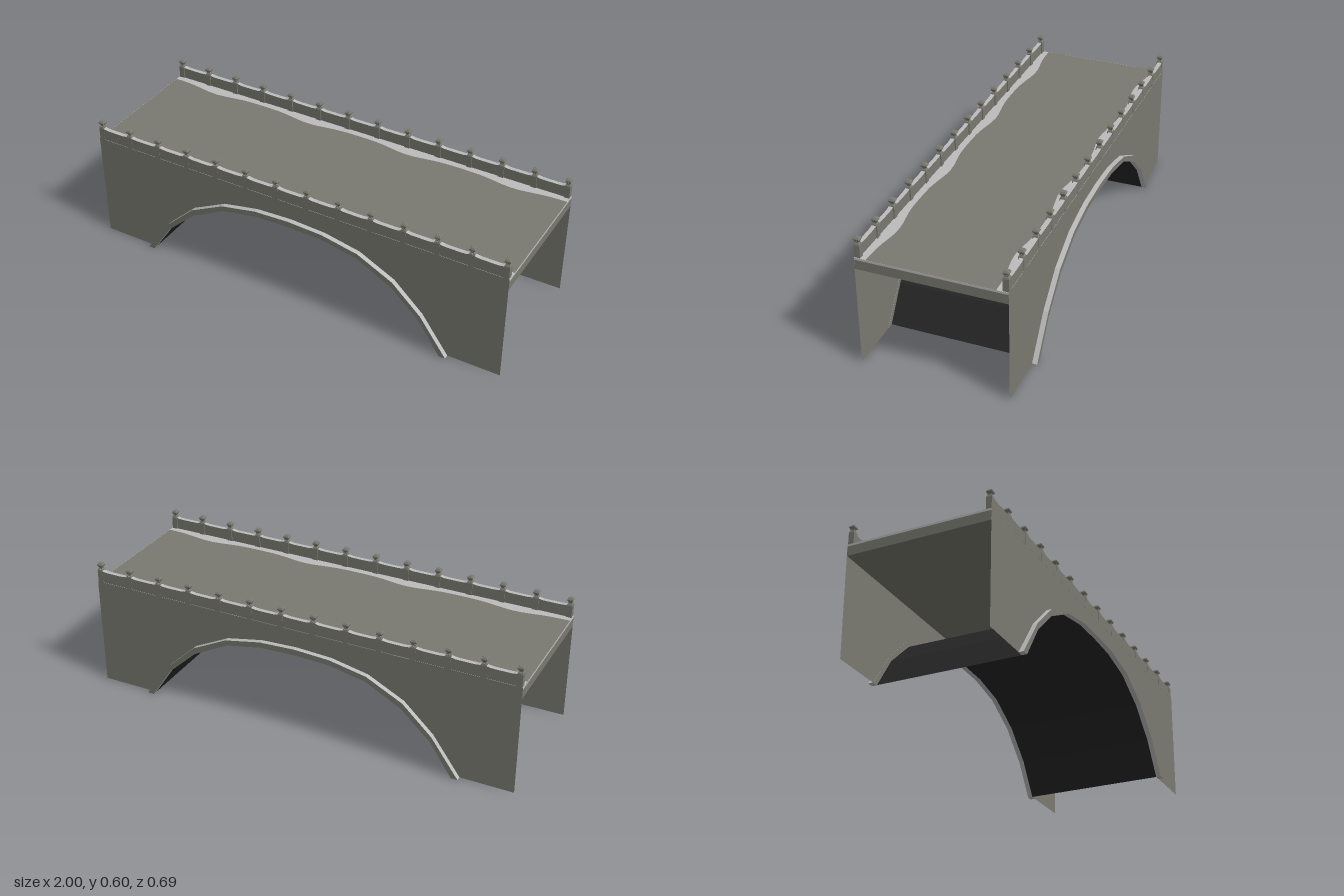
import * as THREE from 'three';

const stone = new THREE.MeshStandardMaterial({ color: 0x7a7a71, side: THREE.DoubleSide, flatShading: true });
stone.name = 'stone';
const paleStone = new THREE.MeshStandardMaterial({ color: 0xbcbcbc, side: THREE.DoubleSide, flatShading: true });
paleStone.name = 'pale worn stone';
const darkStone = new THREE.MeshStandardMaterial({ color: 0x262626, side: THREE.DoubleSide, flatShading: true });
darkStone.name = 'dark vault stone';

const HALF = 0.322; // half width of the bridge
const DECK = 0.507; // height of the road
const POSTS = 14;
const STEP = 1.97 / (POSTS - 1);

// Right half of an arch, mirrored into a full left-to-right curve
const mirrorArch = (half) => [
  ...half.map(([x, y]) => new THREE.Vector2(-x, y)),
  ...half.slice(0, -1).reverse().map(([x, y]) => new THREE.Vector2(x, y)),
];
const inner = mirrorArch([[0.73, 0], [0.63, 0.15], [0.495, 0.275], [0.33, 0.362], [0.16, 0.395], [0, 0.4]]);
const outer = mirrorArch([[0.76, 0], [0.635, 0.176], [0.5, 0.303], [0.335, 0.386], [0.165, 0.42], [0, 0.428]]);

function add(parent, name, geometry, material, x = 0, y = 0, z = 0) {
  const mesh = new THREE.Mesh(geometry, material);
  mesh.name = name;
  mesh.position.set(x, y, z);
  parent.add(mesh);
  return mesh;
}

const v = (x, y) => new THREE.Vector2(x, y);
const extrude = (points, depth) =>
  new THREE.ExtrudeGeometry(new THREE.Shape(points), { depth, bevelEnabled: false });

// Open sheet swept across the bridge under the arch
function vaultGeometry() {
  const geometry = new THREE.PlaneGeometry(1, 1, inner.length - 1, 1);
  const p = geometry.attributes.position;
  inner.forEach((pt, i) => {
    p.setXYZ(i, pt.x, pt.y, -HALF);
    p.setXYZ(i + inner.length, pt.x, pt.y, HALF);
  });
  geometry.computeVertexNormals();
  return geometry;
}

// Wavy worn strip along the road edge, in the x / inward plane
function wornEdge() {
  const points = [v(1, 0), v(-1, 0)];
  for (let i = 0; i <= 48; i++) {
    const x = -1 + i / 24;
    const bump = Math.pow(0.5 - 0.5 * Math.cos(x * Math.PI * 4), 1);
    const peak = Math.pow(0.5 - 0.5 * Math.cos(2 * Math.PI * (x / 0.507)), 2);
    points.push(v(x, 0.05 + 0.021 * peak + 0.002 * bump));
  }
  return new THREE.ShapeGeometry(new THREE.Shape(points)).rotateX(-Math.PI / 2);
}

// Parapet panel with a top that sweeps up towards the posts
function panelGeometry() {
  const points = [v(-STEP / 2, 0), v(STEP / 2, 0)];
  for (let i = 0; i <= 10; i++) {
    const t = 1 - i / 5;
    points.push(v((t * STEP) / 2, 0.056 + 0.012 * Math.pow(Math.abs(t), 6)));
  }
  return extrude(points, 0.019);
}

// Square turned profile for posts
const square = (profile) =>
  new THREE.LatheGeometry(profile.map(([w, y]) => v(w * Math.SQRT1_2, y)), 4).rotateY(Math.PI / 4);

function buildSide() {
  const side = new THREE.Group();

  // Thin wall with the arch cut away
  const wall = new THREE.Shape([v(-1, 0), ...inner, v(1, 0), v(1, 0.505), v(-1, 0.505)]);
  add(side, 'spandrelWall', new THREE.ShapeGeometry(wall), stone, 0, 0, HALF + 0.0008);

  // Projecting arch band, stone faces with pale edges
  add(side, 'archBand', extrude([...outer, ...inner.slice().reverse()], 0.023), [stone, paleStone], 0, 0, HALF);

  // Worn pale road edge
  add(side, 'wornRoadEdge', wornEdge(), paleStone, 0, DECK + 0.0008, HALF);

  // Parapet panels and posts
  const panel = panelGeometry();
  const shaft = square([[0, 0], [0.025, 0], [0.025, 0.058], [0.021, 0.065], [0.016, 0.068], [0.016, 0.073]]);
  const cap = square([[0.016, 0.072], [0.026, 0.08], [0.026, 0.084], [0.017, 0.091], [0, 0.091]]);
  for (let i = 0; i < POSTS; i++) {
    const x = -0.985 + i * STEP;
    add(side, 'parapetPost', shaft, stone, x, DECK - 0.002, 0.3095);
    add(side, 'postCap', cap, stone, x, DECK, 0.3095);
    if (i < POSTS - 1) add(side, 'parapetPanel', panel, [stone, paleStone], x + STEP / 2, DECK - 0.004, 0.302);
  }
  return side;
}

export function createModel() {
  const bridge = new THREE.Group();
  bridge.name = 'stoneBridge';

  // Road slab and dark vault underneath
  add(bridge, 'roadDeck', new THREE.BoxGeometry(2, 0.052, HALF * 2), stone, 0, DECK - 0.026, 0);
  add(bridge, 'archVault', vaultGeometry(), darkStone);

  // Pale worn lip at both ends of the road
  for (const s of [-1, 1]) {
    add(bridge, 'wornDeckEnd', new THREE.BoxGeometry(0.001, 0.009, HALF * 2), paleStone, s * 1.0002, DECK - 0.0045, 0);
  }

  // Front and back are the same
  for (const [name, turn] of [['frontSide', 0], ['backSide', Math.PI]]) {
    const side = buildSide();
    side.name = name;
    side.rotation.y = turn;
    bridge.add(side);
  }
  return bridge;
}
